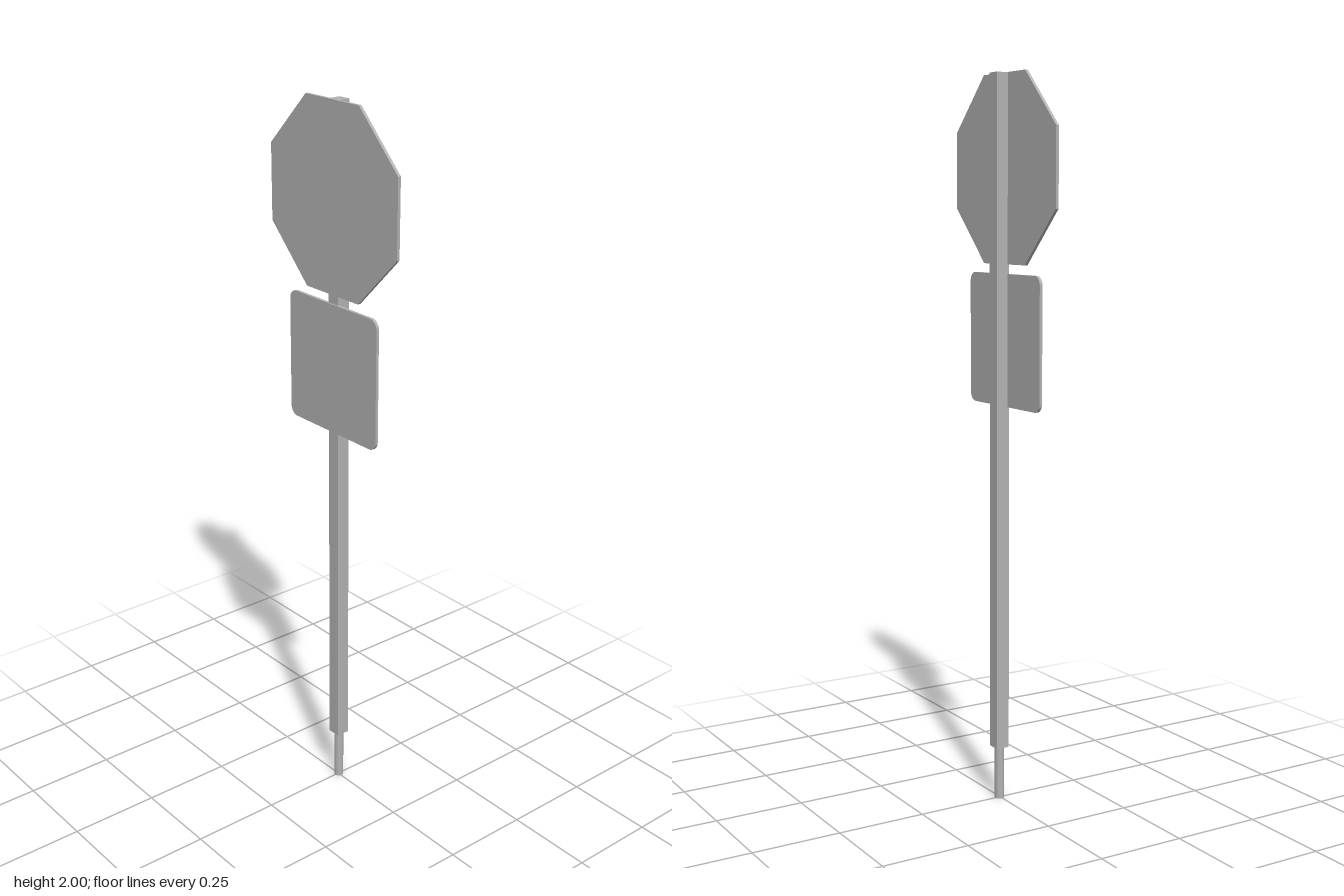
import * as THREE from 'three';

const metal = new THREE.MeshStandardMaterial({ color: 0xb2b2b2 });
metal.name = 'grey metal';

const PLATE_BACK = 0.0125, PLATE_DEPTH = 0.0085, POST_Z = -0.002;

function addMesh(group, name, geometry, x, y, z) {
  const mesh = new THREE.Mesh(geometry, metal);
  mesh.name = name;
  mesh.position.set(x, y, z);
  group.add(mesh);
}

// Flat sign plate cut from an outline
function plate(shape) {
  return new THREE.ExtrudeGeometry(shape, { depth: PLATE_DEPTH, bevelEnabled: false, curveSegments: 5 });
}

// Regular octagon with flat top, bottom and sides
function octagon(half) {
  const radius = half / Math.cos(Math.PI / 8);
  const points = [];
  for (let i = 0; i < 8; i++) {
    const a = (i + 0.5) * Math.PI / 4;
    points.push(new THREE.Vector2(radius * Math.cos(a), radius * Math.sin(a)));
  }
  return new THREE.Shape(points);
}

function roundedRect(w, h, r) {
  const s = new THREE.Shape();
  s.absarc(w - r, h - r, r, 0, Math.PI / 2);
  s.absarc(r - w, h - r, r, Math.PI / 2, Math.PI);
  s.absarc(r - w, r - h, r, Math.PI, Math.PI * 1.5);
  s.absarc(w - r, r - h, r, Math.PI * 1.5, Math.PI * 2);
  s.closePath();
  return s;
}

export function createModel() {
  const group = new THREE.Group();
  group.name = 'roadSign';

  // Square post standing on a thin ground spigot
  addMesh(group, 'post', new THREE.BoxGeometry(0.038, 1.85, 0.038), 0, 1.0745, POST_Z);
  const spigot = new THREE.CylinderGeometry(0.0135, 0.0135, 0.16, 12);
  addMesh(group, 'spigot', spigot, 0, 0.08, POST_Z);

  // Sign plates on the front of the post
  addMesh(group, 'octagonPlate', plate(octagon(0.2517)), 0, 1.7483, PLATE_BACK);
  addMesh(group, 'squarePlate', plate(roundedRect(0.178, 0.18, 0.025)), 0, 1.291, PLATE_BACK);

  return group;
}
